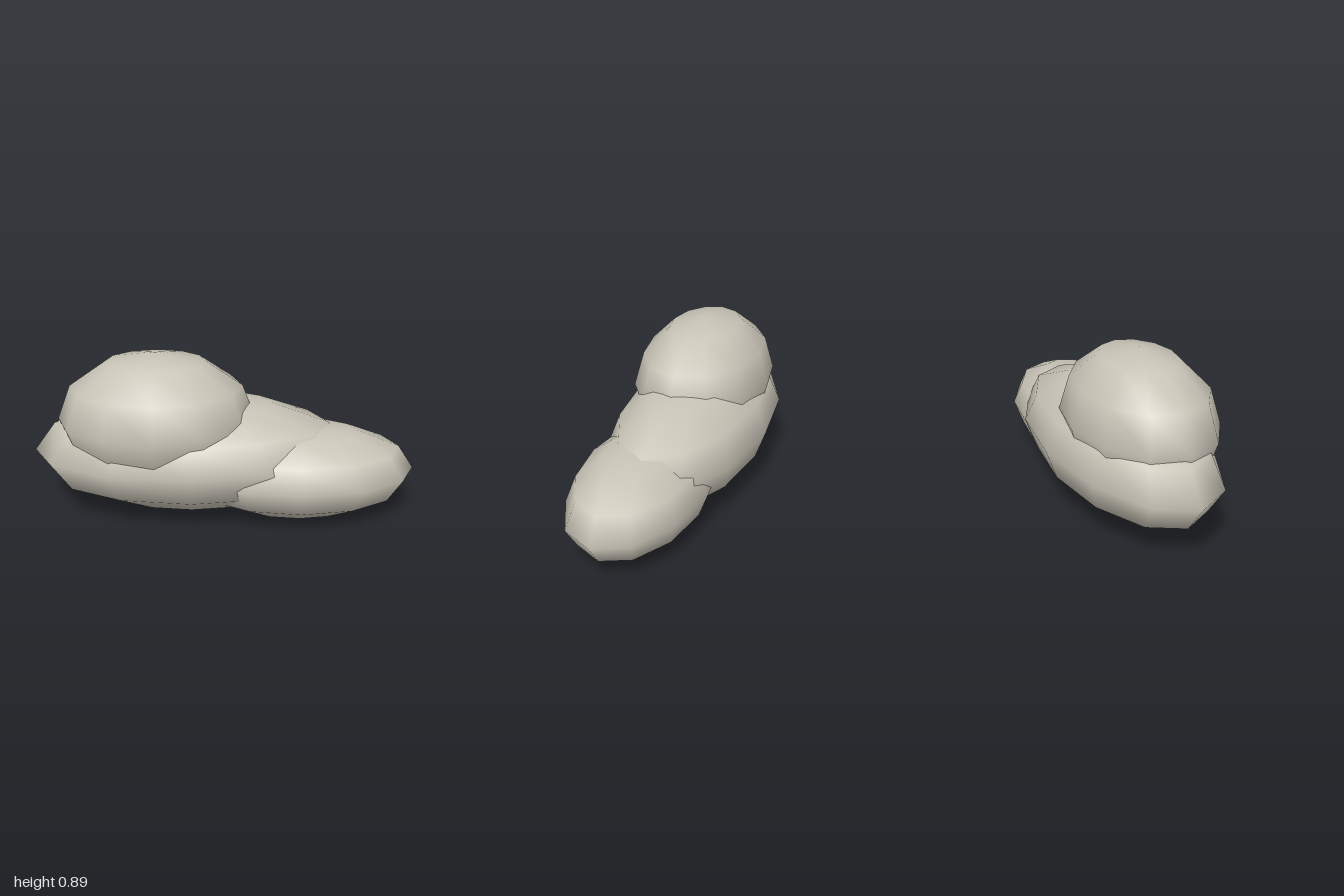
import * as THREE from 'three';

export function createModel() {
  const group = new THREE.Group();
  group.name = 'stonePile';

  const stone = new THREE.MeshStandardMaterial({ color: 0xc8c3b6 });
  stone.name = 'pale stone';

  // Each stone is a coarse, smooth-shaded sphere stretched to an ellipsoid
  function addStone(name, radii, centre) {
    const geometry = new THREE.SphereGeometry(1, 12, 6);
    geometry.scale(...radii);
    const mesh = new THREE.Mesh(geometry, stone);
    mesh.name = name;
    mesh.position.set(...centre);
    group.add(mesh);
  }

  addStone('baseStone', [0.83, 0.305, 0.39], [-0.17, 0.338, 0]);
  addStone('upperStone', [0.512, 0.36, 0.36], [-0.348, 0.53, 0.028]);
  addStone('sideStone', [0.61, 0.25, 0.333], [0.39, 0.25, 0.055]);

  return group;
}
